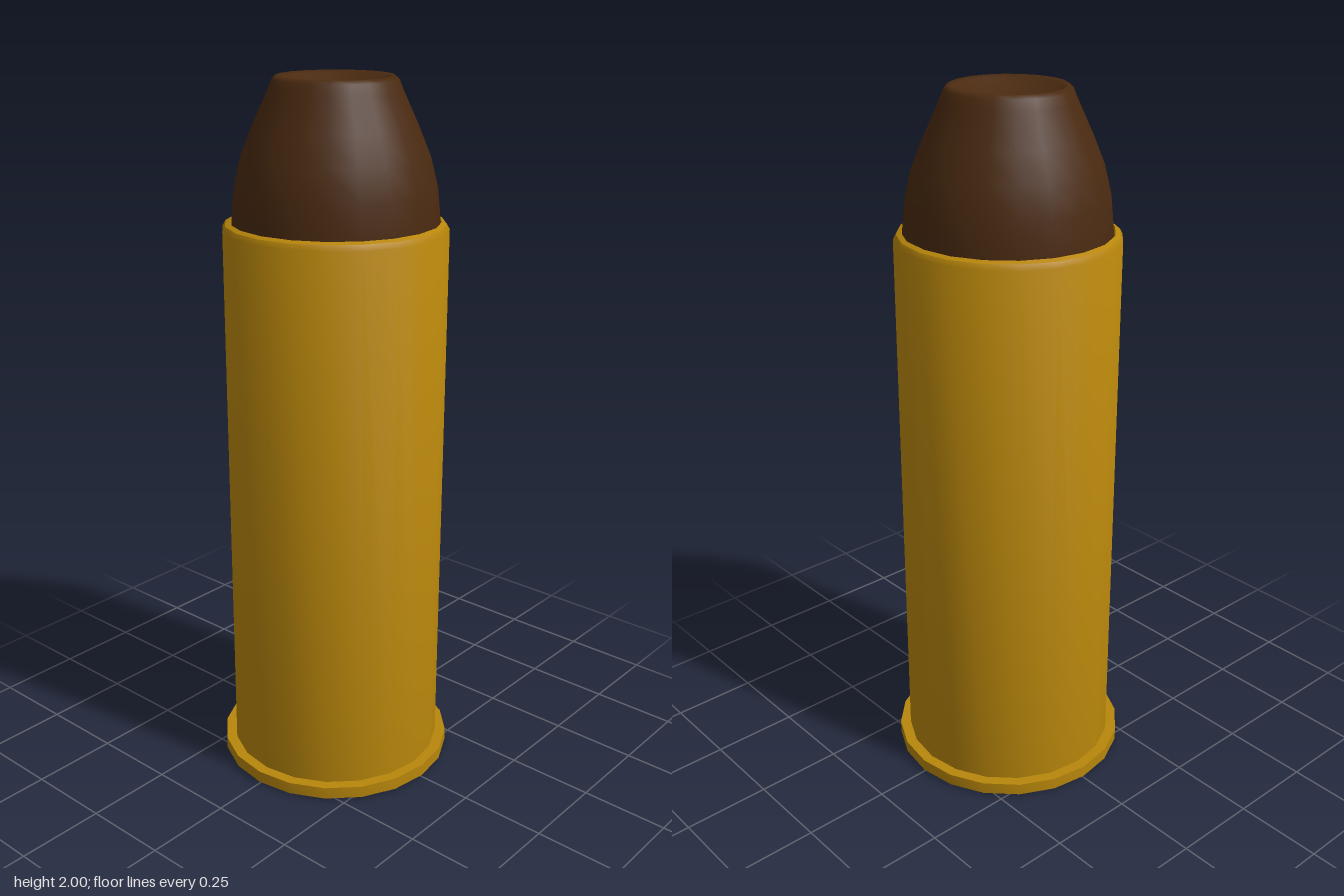
import * as THREE from 'three';
import { toCreasedNormals } from 'three/addons/utils/BufferGeometryUtils.js';

const SIDES = 20;

// Turned part from a [radius, height] profile; crease 0 keeps it fully smooth
function turned(name, profile, color, crease) {
  const points = profile.map(([r, y]) => new THREE.Vector2(r, y));
  let geometry = new THREE.LatheGeometry(points, SIDES);
  if (crease) geometry = toCreasedNormals(geometry, crease);
  const mesh = new THREE.Mesh(geometry, new THREE.MeshStandardMaterial({ color }));
  mesh.name = name;
  return mesh;
}

export function createModel() {
  const brass = 0xb8860b, lead = 0x4a2a10;
  const group = new THREE.Group();
  group.name = 'cartridge';

  // Primer disc, slightly proud of the base
  group.add(turned('primer', [[0, 0], [0.115, 0], [0.13, 0.01], [0.145, 0.018]], brass, 0.8));

  // Base face with its primer pocket, and the extraction rim
  group.add(turned('rim', [
    [0.145, 0.018], [0.17, 0.018], [0.19, 0.005], [0.34, 0.005], [0.34, 0.04], [0.309, 0.04],
  ], brass, 0.5));

  // Straight case wall with a rolled-in mouth
  group.add(turned('case', [
    [0.309, 0.04], [0.309, 1.6], [0.301, 1.614], [0.288, 1.62], [0.284, 1.605], [0.28, 1.58],
  ], brass, 0.6));

  // Rounded bullet with a shallow dished tip
  group.add(turned('bullet', [
    [0.284, 1.56], [0.284, 1.62], [0.275, 1.71], [0.255, 1.79], [0.222, 1.87], [0.178, 1.965],
    [0.168, 1.99], [0.157, 2], [0.145, 1.994], [0.105, 1.972], [0.055, 1.957], [0, 1.952],
  ], lead, 0));

  return group;
}
